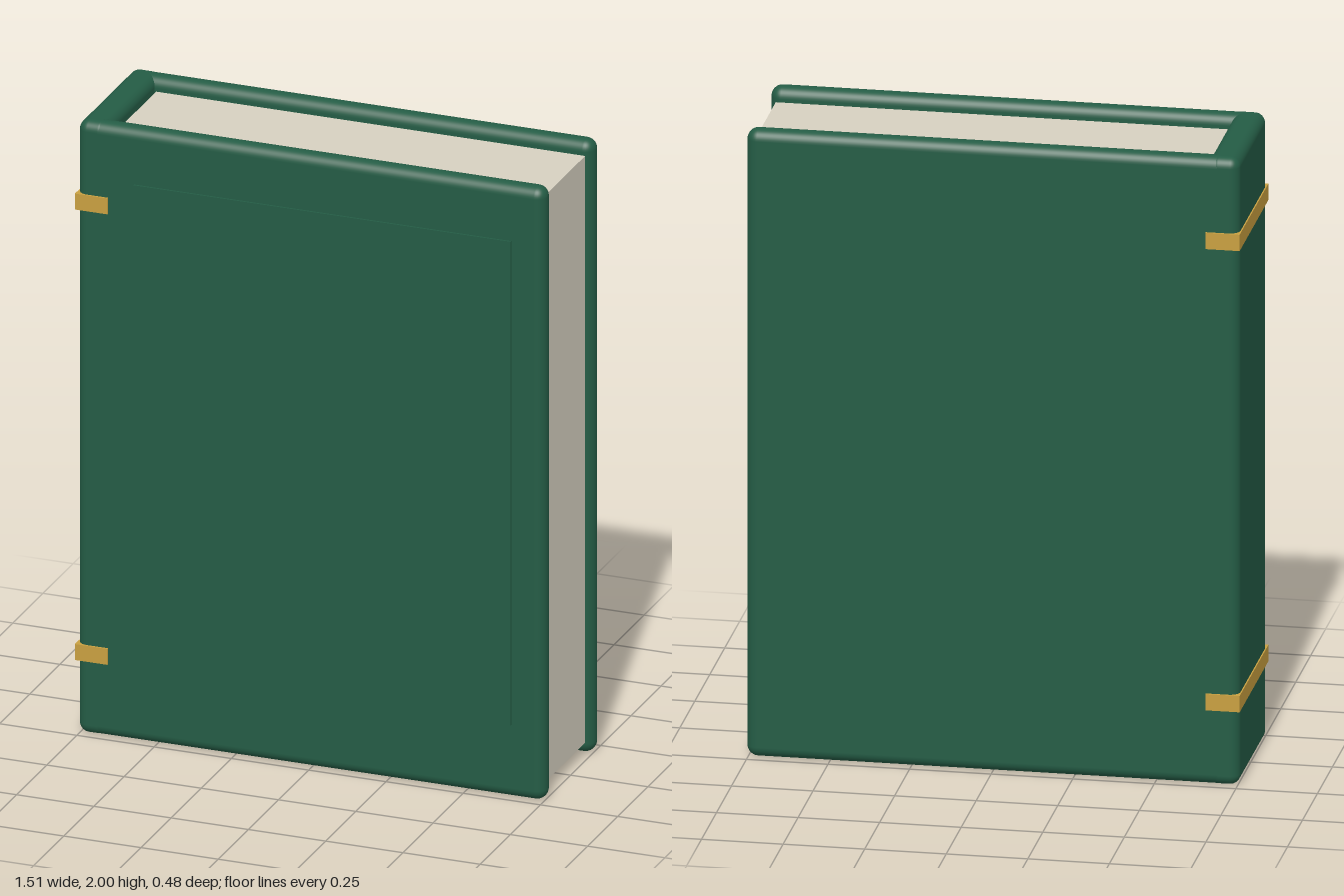
import * as THREE from 'three';
import { RoundedBoxGeometry } from 'three/addons/geometries/RoundedBoxGeometry.js';

const green = new THREE.MeshStandardMaterial({ color: 0x245c45 });
green.name = 'green leather';
const paper = new THREE.MeshStandardMaterial({ color: 0xd6d0c0 });
paper.name = 'cream paper';
const gold = new THREE.MeshStandardMaterial({ color: 0xc9a040 });
gold.name = 'gold';

// Box between two corners, with optional rounded edges
function block(name, material, [x0, y0, z0], [x1, y1, z1], radius = 0) {
  const size = [x1 - x0, y1 - y0, z1 - z0];
  const geometry = radius
    ? new RoundedBoxGeometry(...size, 5, radius)
    : new THREE.BoxGeometry(...size);
  const mesh = new THREE.Mesh(geometry, material);
  mesh.name = name;
  mesh.position.set((x0 + x1) / 2, (y0 + y1) / 2, (z0 + z1) / 2);
  return mesh;
}

export function createModel() {
  const book = new THREE.Group();
  book.name = 'book';

  // Covers and spine
  book.add(
    block('frontCover', green, [-0.755, 0, 0.165], [0.755, 2, 0.235], 0.034),
    block('backCover', green, [-0.755, 0, -0.235], [0.755, 2, -0.165], 0.034),
    block('spine', green, [-0.756, 0, -0.235], [-0.66, 2, 0.235], 0.032),
  );

  // Raised panel on the front cover
  book.add(block('frontPanel', green, [-0.57, 0.24, 0.234], [0.65, 1.82, 0.241]));

  // Page block
  book.add(block('pages', paper, [-0.653, 0.042, -0.159], [0.735, 1.958, 0.159]));

  // Bands wrapped around the spine
  for (const [name, y] of [['lowerBand', 0.267], ['upperBand', 1.738]]) {
    book.add(block(name, gold, [-0.76, y - 0.026, -0.241], [-0.655, y + 0.026, 0.241]));
  }
  return book;
}
